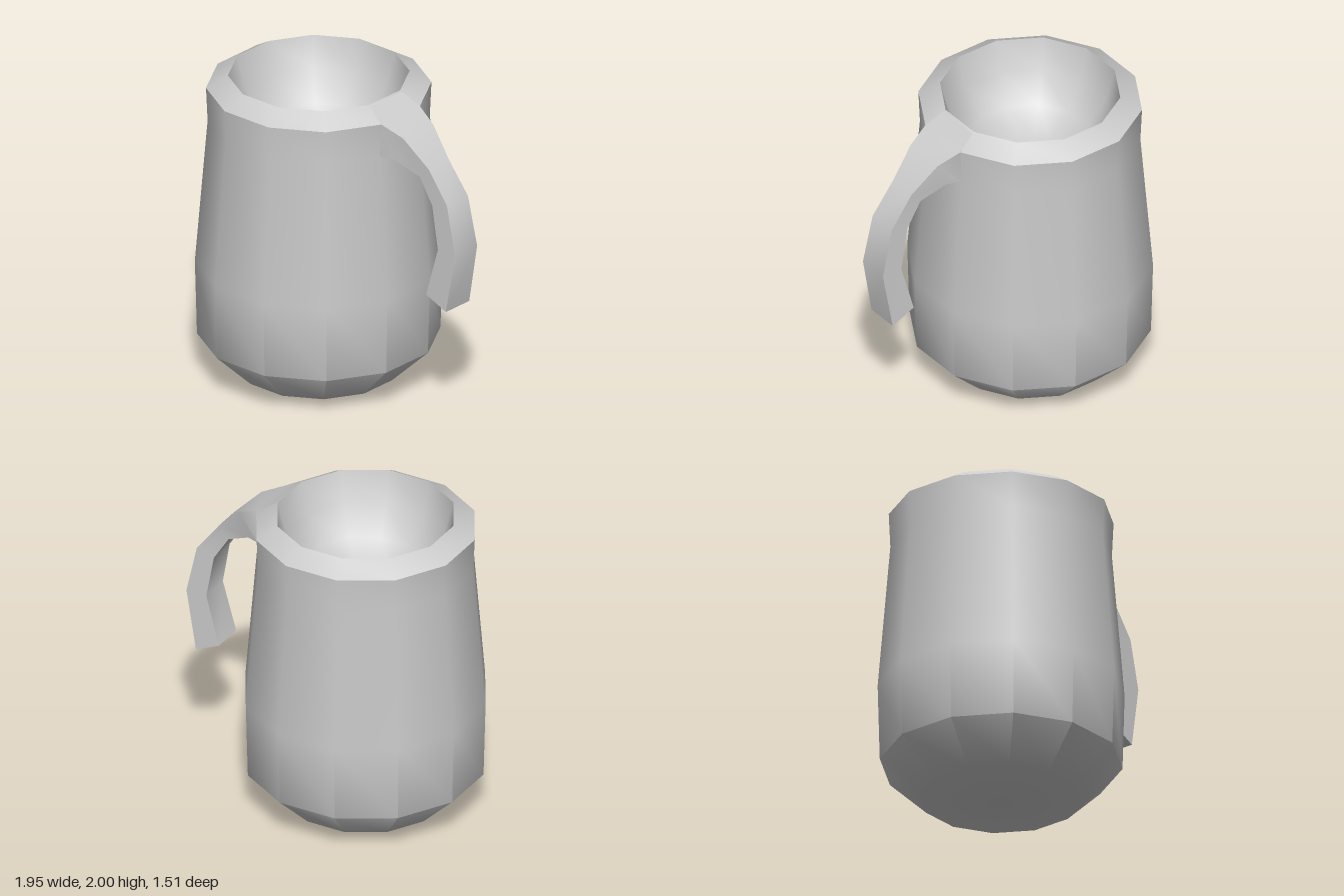
import * as THREE from 'three';
import { toCreasedNormals } from 'three/addons/utils/BufferGeometryUtils.js';

const SIDES = 12;
const CREASE = THREE.MathUtils.degToRad(50);
const HANDLE_ANGLE = THREE.MathUtils.degToRad(10.5);

// Square-section sweep: each section is [outer r, outer y, inner r, inner y, half width]
function sweep(sections) {
  const pos = [], index = [];
  for (const [ro, yo, ri, yi, w] of sections) {
    pos.push(ro, yo, w, ro, yo, -w, ri, yi, -w, ri, yi, w);
  }
  for (let s = 0; s < sections.length - 1; s++) {
    for (let k = 0; k < 4; k++) {
      const a = s * 4 + k, b = s * 4 + (k + 1) % 4;
      index.push(a, a + 4, b, b, a + 4, b + 4);
    }
  }
  // End cap at the free tip
  const e = (sections.length - 1) * 4;
  index.push(e, e + 3, e + 2, e, e + 2, e + 1);
  const geo = new THREE.BufferGeometry();
  geo.setAttribute('position', new THREE.Float32BufferAttribute(pos, 3));
  geo.setIndex(index);
  return geo;
}

export function createModel() {
  const clay = new THREE.MeshStandardMaterial({ color: 0xcccccc, side: THREE.DoubleSide });
  clay.name = 'grey clay';

  const mug = new THREE.Group();
  mug.name = 'mug';

  // Body: pointed base, bulging wall, sloped rim and rounded hollow
  const profile = [
    [0, 0], [0.5, 0.035], [0.745, 0.27], [0.758, 0.76], [0.68, 1.7], [0.69, 1.92],
    [0.556, 2], [0.5, 1.8], [0.38, 1.62], [0.2, 1.52], [0, 1.49],
  ].map(([r, y]) => new THREE.Vector2(r, y));
  const bodyGeo = new THREE.LatheGeometry(profile, SIDES, THREE.MathUtils.degToRad(4.5));
  const body = new THREE.Mesh(toCreasedNormals(bodyGeo, CREASE), clay);
  body.name = 'body';

  // Handle: flares from one wall panel, then hooks down to a free tip
  const handleGeo = sweep([
    [0.537, 2.0, 0.6, 1.7, 0.143],
    [0.667, 1.92, 0.657, 1.7, 0.178],
    [0.81, 1.855, 0.746, 1.69, 0.138],
    [0.977, 1.685, 0.908, 1.61, 0.094],
    [1.13, 1.485, 1.01, 1.45, 0.097],
    [1.2, 1.17, 1.06, 1.17, 0.102],
    [1.13, 0.775, 0.97, 0.845, 0.108],
  ]);
  const handle = new THREE.Mesh(toCreasedNormals(handleGeo, CREASE), clay);
  handle.name = 'handle';
  handle.rotation.y = -HANDLE_ANGLE;

  mug.add(body, handle);
  mug.children.forEach((part) => { part.position.x = -0.225; });
  return mug;
}
